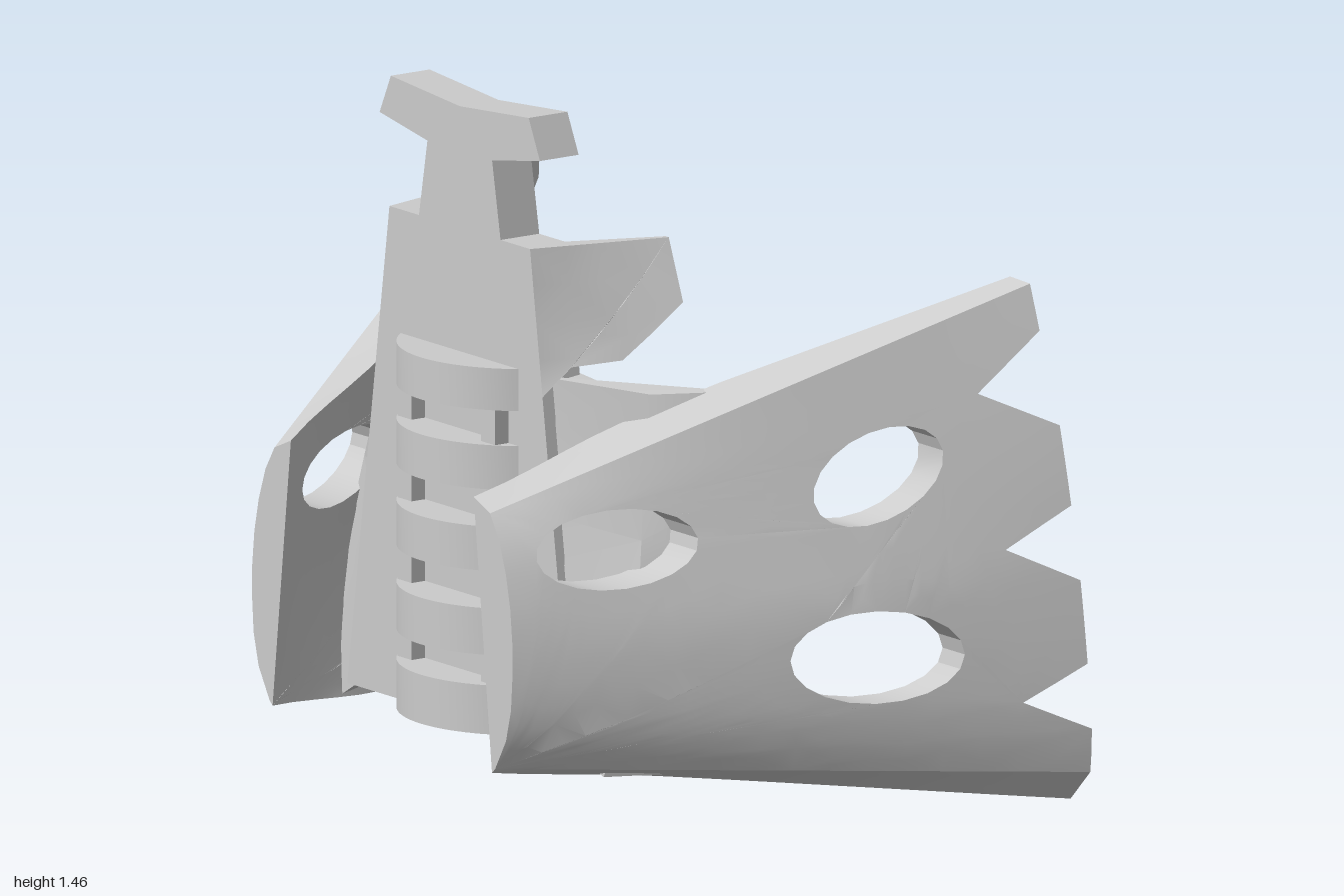
import * as THREE from 'three';
import { toCreasedNormals } from 'three/addons/utils/BufferGeometryUtils.js';

const material = new THREE.MeshStandardMaterial({ color: 0xcccccc });
const { lerp, clamp, smoothstep } = THREE.MathUtils;
const THICK = 0.07;

function polygon(points) {
  return new THREE.Shape(points.map(([x, y]) => new THREE.Vector2(x, y)));
}

function extrude(shape, depth, curveSegments = 10) {
  return new THREE.ExtrudeGeometry(shape, { depth, bevelEnabled: false, curveSegments });
}

// Splits every edge longer than limit so a flat sheet can be bent.
function subdivide(geometry, limit) {
  const p = geometry.getAttribute('position');
  const out = [];
  const split = (a, b, c) => {
    const ab = a.distanceTo(b), bc = b.distanceTo(c), ca = c.distanceTo(a);
    const longest = Math.max(ab, bc, ca);
    if (longest <= limit) {
      out.push(a, b, c);
    } else if (longest === ab) {
      const m = a.clone().add(b).multiplyScalar(0.5);
      split(a, m, c);
      split(m, b, c);
    } else if (longest === bc) {
      const m = b.clone().add(c).multiplyScalar(0.5);
      split(a, b, m);
      split(a, m, c);
    } else {
      const m = c.clone().add(a).multiplyScalar(0.5);
      split(a, b, m);
      split(m, b, c);
    }
  };
  const v = (i) => new THREE.Vector3().fromBufferAttribute(p, i);
  for (let i = 0; i < p.count; i += 3) split(v(i), v(i + 1), v(i + 2));
  return new THREE.BufferGeometry().setFromPoints(out);
}

// Moves each vertex by a rule.
function bend(geometry, rule) {
  const p = geometry.getAttribute('position');
  for (let i = 0; i < p.count; i++) p.setXYZ(i, ...rule(p.getX(i), p.getY(i), p.getZ(i)));
  return geometry;
}

function mirrored(geometry) {
  const p = geometry.getAttribute('position');
  const points = [];
  for (let i = 0; i < p.count; i += 3) {
    for (const k of [0, 2, 1]) points.push(new THREE.Vector3(-p.getX(i + k), p.getY(i + k), p.getZ(i + k)));
  }
  return new THREE.BufferGeometry().setFromPoints(points);
}

// Height of a point within the side panel: 0 at its lower edge, 1 at its upper edge.
function panelHeight(z, y) {
  const bottom = 0.11 - 0.098 * (0.56 - z);
  const top = 0.69 + 0.424 * (0.56 - z);
  return clamp((y - bottom) / (top - bottom), 0, 1);
}

function panelOuterX(z, y) {
  const v = panelHeight(z, y);
  const t = (0.56 - z) / 1.12;
  const upper = Math.max(0, (v - 0.45) / 0.55), lower = Math.max(0, (0.45 - v) / 0.45);
  const drop = lerp(0.08, 0.056, t) * upper ** 2 + lerp(0.062, 0.04, t) * lower ** 3
    + 0.08 * upper * (1 - upper) * Math.sin(Math.PI * t);
  return 0.463 + 0.493 * (0.56 - z) - drop;
}

// Inner face: straight at the front edge, thick in the middle and thinner towards the rear.
function panelInnerX(z, y) {
  const v = panelHeight(z, y);
  const s = smoothstep(0.56 - z, 0, 0.35);
  const straight = lerp(0.39, 0.325, v) + 0.493 * (0.56 - z);
  const extra = 0.06 * clamp((z + 0.46) / 0.52, 0, 1) * (0.3 + 0.7 * v);
  return lerp(straight, panelOuterX(z, y) - THICK - extra, s);
}

function sidePanelGeometry() {
  // Outline in (-z, y) with a notched rear edge
  const shape = polygon([
    [-0.56, 0.11], [0.56, 0], [0.55, 0.14], [0.415, 0.23], [0.535, 0.31], [0.52, 0.49],
    [0.38, 0.56], [0.505, 0.65], [0.49, 0.82], [0.345, 0.89], [0.465, 1.02], [0.455, 1.12],
    [-0.56, 0.69],
  ]);
  for (const [x, y, rx, ry, turn] of [
    [-0.345, 0.587, 0.155, 0.082, 0.12],
    [0.153, 0.722, 0.136, 0.086, 0.6],
    [0.135, 0.34, 0.166, 0.1, 0],
  ]) {
    const hole = new THREE.Path();
    hole.absellipse(x, y, rx, ry, 0, Math.PI * 2, true, turn);
    shape.holes.push(hole);
  }
  return bend(subdivide(extrude(shape, THICK), 0.08), (a, y, d) => {
    const z = -a, w = d / THICK;
    const v = panelHeight(z, y), t = (0.56 - z) / 1.12;
    // the outer skin is bevelled along the lower and front upper edges
    const lift = lerp(0.01, 0.07, t) * Math.max(0, 1 - v / 0.2)
      - 0.025 * (1 - t) * Math.max(0, (v - 0.85) / 0.15);
    return [lerp(panelInnerX(z, y), panelOuterX(z, y), w), y + lift * w, z];
  });
}

const plateEdge = (y) => 0.25 + 0.143 * (1.18 - y);

// Web running diagonally from the plate to the inner face of a side panel
function webGeometry() {
  const levels = 8;
  const rings = [];
  for (let i = 0; i <= levels; i++) {
    const t = i / levels;
    const yPlate = lerp(0.135, 0.91, t), yPanel = lerp(0.085, 0.885, t);
    const yMid = lerp(0.115, 0.872, t);
    const xp = plateEdge(yPlate);
    const zFront = lerp(0.33, 0.2, t), zBack = lerp(0.06, 0.03, t);
    const xFront = panelInnerX(zFront, yPanel) + 0.02;
    const xBack = panelInnerX(zBack, yPanel) + 0.01;
    rings.push([
      [xp - 0.03, yPlate, 0.355],
      [xFront, yPanel, zFront],
      [xBack, yPanel, zBack],
      [lerp(xp, xBack, 0.68), yMid, lerp(0.262, zBack, 0.62)],
      [lerp(xp, xBack, 0.32), yMid, lerp(0.262, zBack, 0.27)],
      [xp - 0.01, yPlate, 0.262],
    ].map((c) => new THREE.Vector3(...c)));
  }
  const out = [], n = 6;
  for (let i = 0; i < levels; i++) {
    for (let j = 0; j < n; j++) {
      const k = (j + 1) % n;
      const a = rings[i][j], b = rings[i][k], c = rings[i + 1][k], d = rings[i + 1][j];
      out.push(a, b, c, a, c, d);
    }
  }
  for (let j = 1; j < n - 1; j++) {
    out.push(rings[0][0], rings[0][j + 1], rings[0][j]);
    out.push(rings[levels][0], rings[levels][j], rings[levels][j + 1]);
  }
  return new THREE.BufferGeometry().setFromPoints(out);
}

// Flared ear beside the plate's shoulder, thinning towards its rear edge
function earGeometry() {
  const shape = polygon([
    [-0.36, 0.87], [-0.3, 0.93], [-0.2, 0.94], [-0.06, 1.05], [-0.06, 1.18], [-0.36, 1.18],
  ]);
  return bend(subdivide(extrude(shape, 1), 0.15), (a, y, d) => {
    const dy = 1.18 - y, f = (0.36 + a) / 0.3;
    const thickness = lerp(0.055, 0.012, f);
    return [plateEdge(y) + f * (0.08 + 0.25 * dy) + (d - 1) * thickness, y, -a];
  });
}

export function createModel() {
  const model = new THREE.Group();
  const add = (name, geometry, x = 0, y = 0, z = 0) => {
    const mesh = new THREE.Mesh(geometry, material);
    mesh.name = name;
    mesh.position.set(x, y, z);
    model.add(mesh);
  };

  // Tapered centre plate with its T-shaped crest
  const half = [[0.4, 0.13], [0.25, 1.18], [0.145, 1.18], [0.115, 1.345], [0.285, 1.375], [0.245, 1.46]];
  const outline = [...half, [0, 1.44], ...half.map(([x, y]) => [-x, y]).reverse()];
  add('centrePlate', extrude(polygon(outline), 0.1), 0, 0, 0.26);

  // Rounded ribs stacked on the plate
  const radius = 0.27, angle = Math.asin(0.213 / radius);
  const ribShape = new THREE.Shape();
  ribShape.absarc(0, 0, radius, -Math.PI / 2 - angle, -Math.PI / 2 + angle, false);
  for (const [low, high] of [[0.13, 0.235], [0.3, 0.4], [0.48, 0.575], [0.655, 0.75], [0.825, 0.915]]) {
    const rib = extrude(ribShape, high - low, 14).rotateX(-Math.PI / 2);
    add('rib', toCreasedNormals(rib, 0.5), 0, low, 0.19);
  }
  for (const side of [1, -1]) {
    add('ribColumn', new THREE.BoxGeometry(0.05, 0.68, 0.04), side * 0.148, 0.51, 0.375);
  }

  // Parts built once and mirrored, each with its own crease angle
  for (const [name, geometry, crease] of [
    ['SidePanel', sidePanelGeometry(), 0.38],
    ['Web', webGeometry(), 0.6],
    ['Ear', earGeometry(), 0.5],
  ]) {
    add('left' + name, toCreasedNormals(geometry, crease));
    add('right' + name, toCreasedNormals(mirrored(geometry), crease));
  }
  return model;
}
